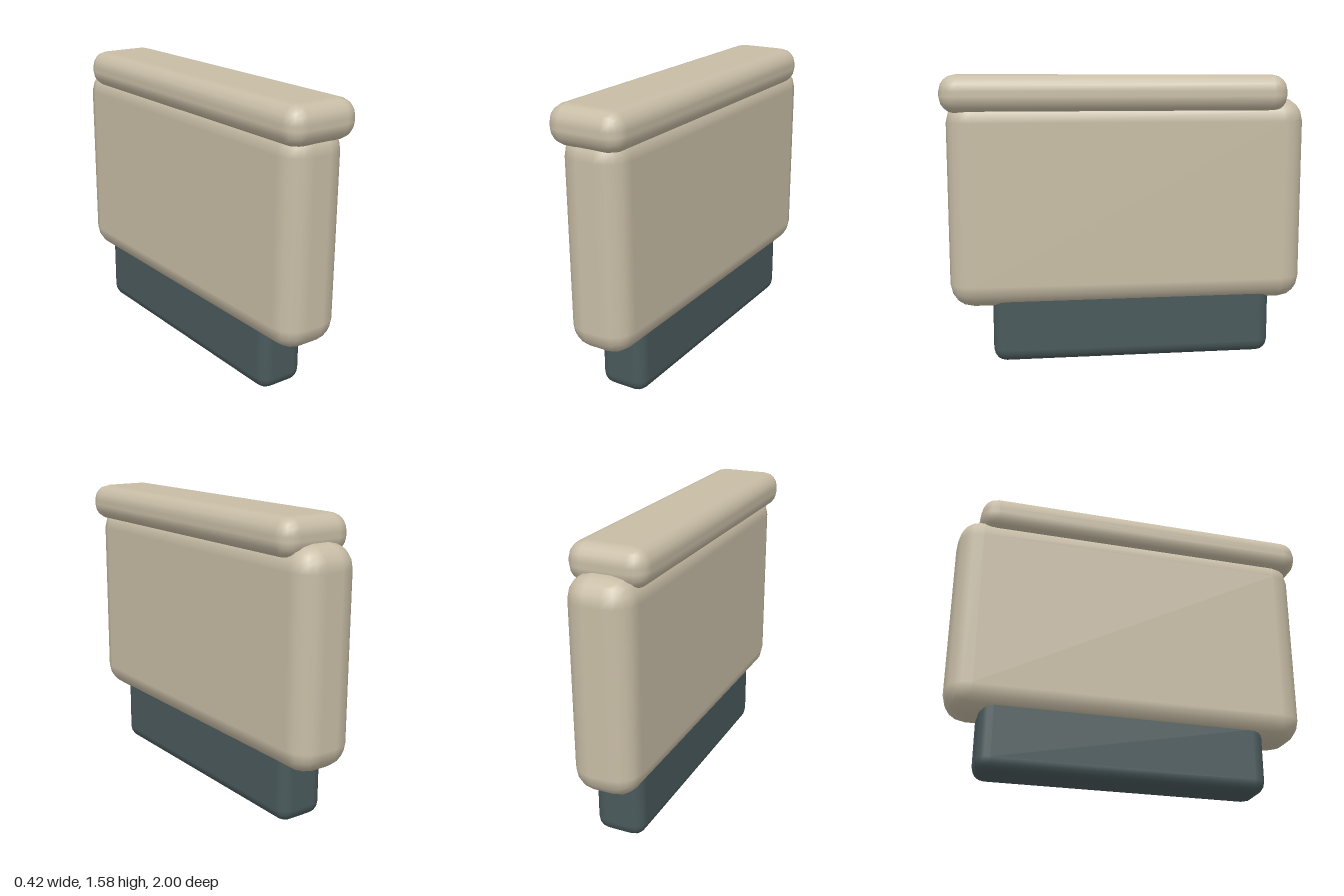
import * as THREE from 'three';
import { RoundedBoxGeometry } from 'three/addons/geometries/RoundedBoxGeometry.js';

const tan = new THREE.MeshStandardMaterial({ color: 0xc8bda6 });
const slate = new THREE.MeshStandardMaterial({ color: 0x4a5a5c });

// Rounded block centred on x, given its width and its y and z extents
function block(name, width, [y0, y1], [z0, z1], radius, material) {
  const geometry = new RoundedBoxGeometry(width, y1 - y0, z1 - z0, 2, radius);
  const mesh = new THREE.Mesh(geometry, material);
  mesh.position.set(0, (y0 + y1) / 2, (z0 + z1) / 2);
  mesh.name = name;
  return mesh;
}

export function createModel() {
  const group = new THREE.Group();
  group.name = 'paddedPanel';
  group.add(
    // Dark plinth, sunk into the underside of the panel
    block('base', 0.27, [0, 0.42], [-0.82, 0.74], 0.07, slate),
    // Thick upright panel
    block('panel', 0.355, [0.31, 1.45], [-1, 0.97], 0.13, tan),
    // Wider rail along the top, set forward of the panel
    block('topRail', 0.42, [1.37, 1.575], [-0.89, 1], 0.09, tan),
  );
  return group;
}
